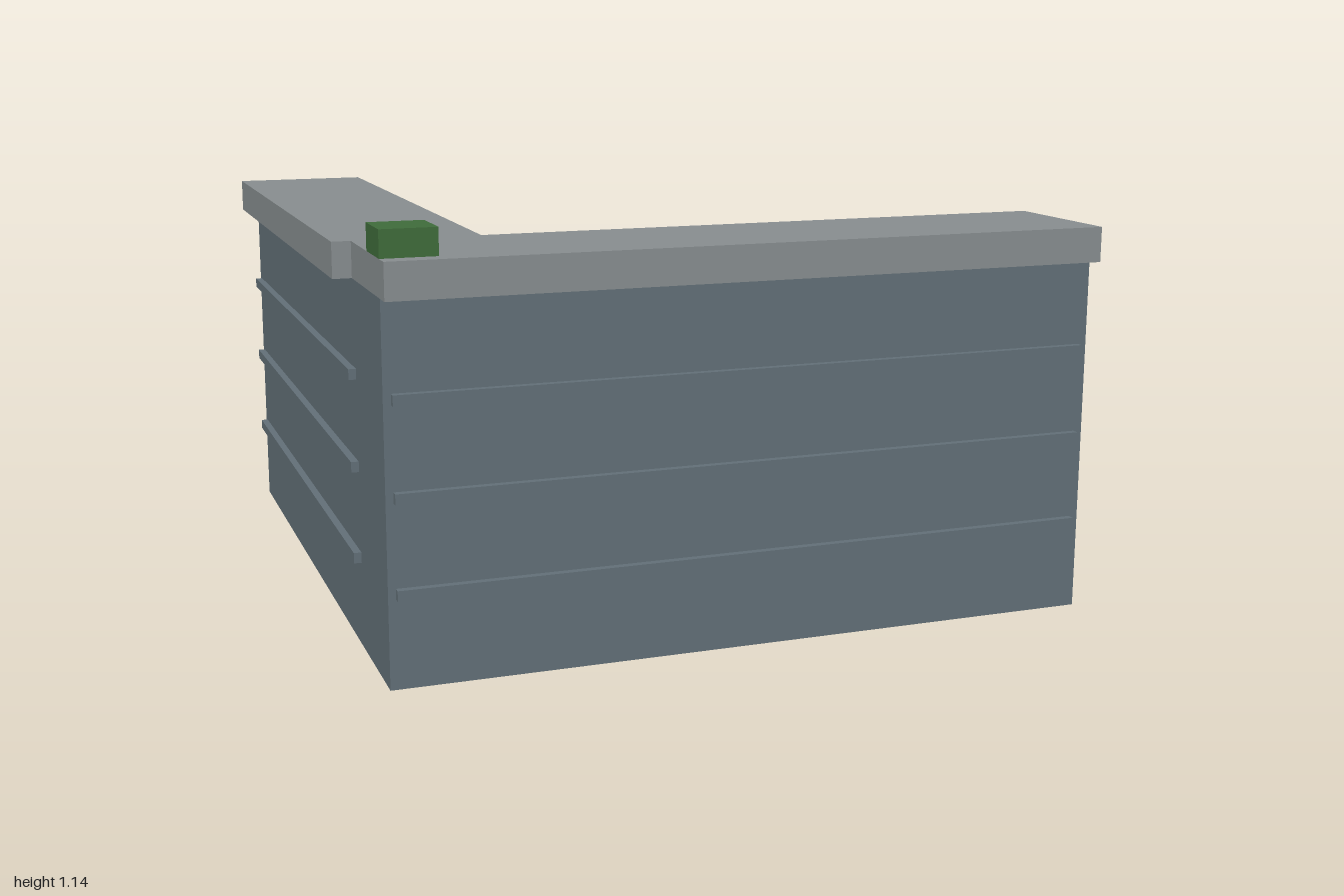
import * as THREE from 'three';

const mat = (name, color) => {
  const m = new THREE.MeshStandardMaterial({ color });
  m.name = name;
  return m;
};

export function createModel() {
  const group = new THREE.Group();
  const wallMat = mat('slate wall', 0x626f77);
  const capMat = mat('grey coping', 0x878d8f);
  const greenMat = mat('green marker', 0x3f6b3a);

  const add = (name, geometry, material) => {
    const mesh = new THREE.Mesh(geometry, material);
    mesh.name = name;
    group.add(mesh);
  };

  // Extrude a plan outline of [x, z] corners between two heights
  const slab = (name, plan, y0, y1, material) => {
    const shape = new THREE.Shape(plan.map(([x, z]) => new THREE.Vector2(x, z)));
    const geo = new THREE.ExtrudeGeometry(shape, { depth: y1 - y0, bevelEnabled: false });
    geo.rotateX(Math.PI / 2).translate(0, y1, 0);
    add(name, geo, material);
  };

  // Box given by its limits on each axis
  const box = (name, [x0, x1], [y0, y1], [z0, z1], material) => {
    const geo = new THREE.BoxGeometry(x1 - x0, y1 - y0, z1 - z0);
    geo.translate((x0 + x1) / 2, (y0 + y1) / 2, (z0 + z1) / 2);
    add(name, geo, material);
  };

  // L-shaped corner wall
  slab('cornerWall', [
    [-0.95, -1], [-0.66, -1], [-0.66, 0.66], [1, 0.66], [1, 0.95], [-0.95, 0.95],
  ], 0, 0.98, wallMat);

  // Overhanging coping, notched at the outer corner
  slab('coping', [
    [-1, -1], [-0.61, -1], [-0.61, 0.61], [1, 0.61],
    [1, 1], [-0.95, 1], [-0.95, 0.61], [-1, 0.61],
  ], 0.98, 1.075, capMat);

  // Thin horizontal ribs on both outer faces
  [0.247, 0.491, 0.735].forEach((y, i) => {
    const height = [y - 0.014, y + 0.014];
    box(`frontRib${i + 1}`, [-0.93, 0.975], height, [0.945, 0.97], wallMat);
    box(`sideRib${i + 1}`, [-0.97, -0.945], height, [-0.975, 0.628], wallMat);
  });

  // Small block on the corner of the coping
  box('cornerBlock', [-0.95, -0.805], [1.075, 1.145], [0.805, 0.95], greenMat);

  return group;
}
